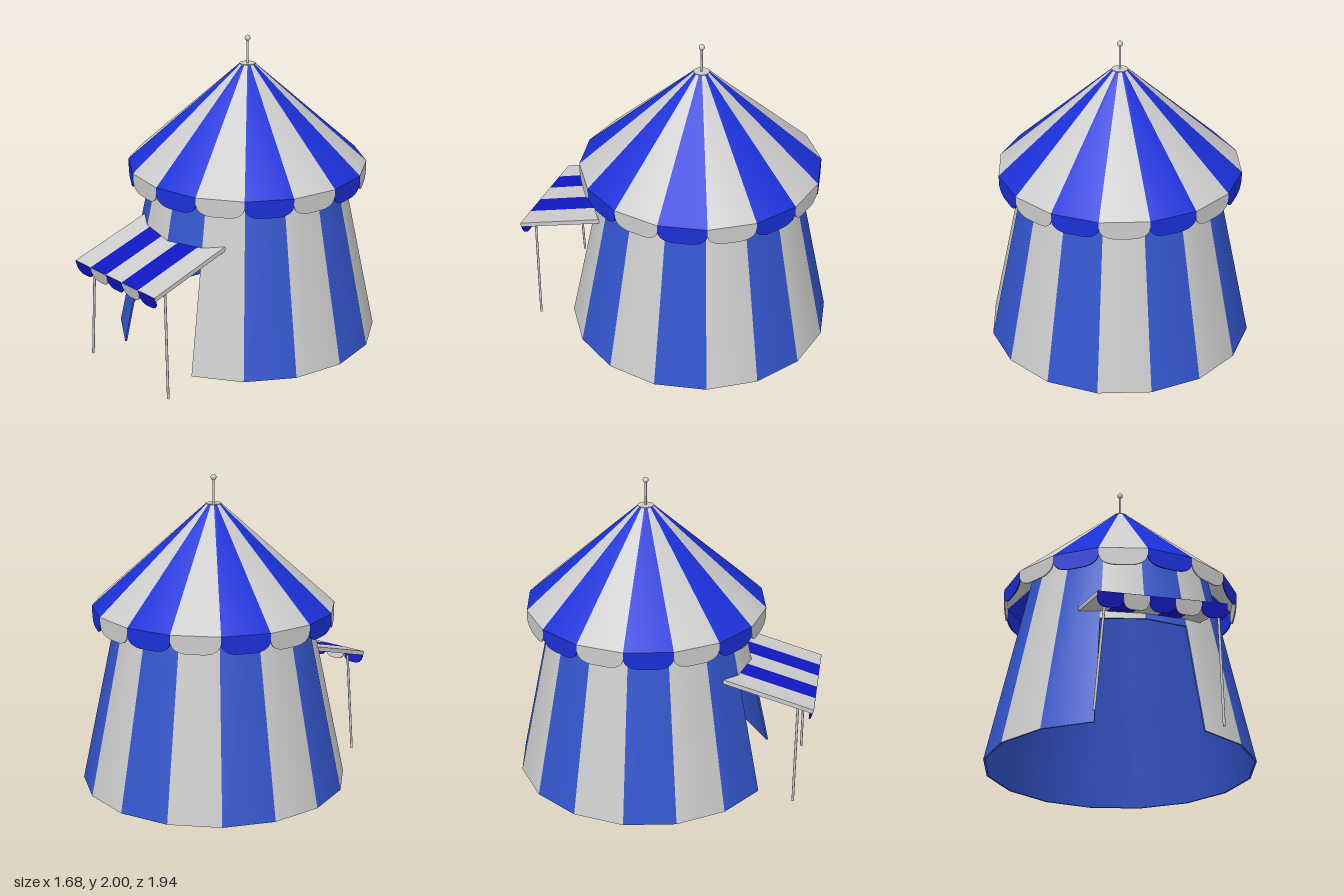
import * as THREE from 'three';

const N = 16, STEP = (Math.PI * 2) / N;
const BASE_Y = 0.05, DOOR_Y = 0.755, WALL_TOP = 1.35, EAVE_Y = 1.19, ROOF_TOP = 1.82;
const EAVE_R = 0.757, THICK = 0.012, TENT_Z = -0.13;

const mat = (color) => new THREE.MeshStandardMaterial({ color, side: THREE.DoubleSide });
const wallRadius = (y) => 0.84 - 0.213 * (y - BASE_Y);

// Plan outline of the tent front at awning height
function wallZ(x) {
  const a = Math.abs(x);
  return a < 0.258 ? 0.544 - 0.2 * a : 0.492 - 0.67 * (a - 0.258);
}

// Hanging flap with a rounded lower edge, its top at y = 0
function scallopGeometry(w, d) {
  const s = new THREE.Shape();
  s.moveTo(-w / 2, 0);
  s.lineTo(-w / 2, -0.35 * d);
  s.bezierCurveTo(-w / 2, -0.8 * d, -0.32 * w, -d, -0.15 * w, -d);
  s.lineTo(0.15 * w, -d);
  s.bezierCurveTo(0.32 * w, -d, w / 2, -0.8 * d, w / 2, -0.35 * d);
  s.lineTo(w / 2, 0);
  return new THREE.ExtrudeGeometry(s, { depth: 0.008, bevelEnabled: false, curveSegments: 8 });
}

// One segment of a conical shell, smooth across its neighbours
function shellPanel(rTop, rBottom, y0, y1, k) {
  const g = new THREE.CylinderGeometry(rTop, rBottom, y1 - y0, 1, 1, true, k * STEP, STEP);
  return g.translate(0, (y0 + y1) / 2, 0);
}

// Straight round pole between two points
function poleGeometry(a, b, r) {
  return new THREE.TubeGeometry(new THREE.LineCurve3(a, b), 1, r, 8, false);
}

export function createModel() {
  const model = new THREE.Group();
  const grey = mat(0xcccccc), wallBlue = mat(0x3355cc), roofBlue = mat(0x1a30d8), awningBlue = mat(0x1018c0);

  const add = (parent, name, geometry, material) => {
    const mesh = new THREE.Mesh(geometry, material);
    mesh.name = name;
    parent.add(mesh);
    return mesh;
  };
  const group = (name, parent) => {
    const g = new THREE.Group();
    g.name = name;
    parent.add(g);
    return g;
  };

  const tent = group('tent', model);
  tent.position.z = TENT_Z;
  const walls = group('walls', tent), roof = group('roof', tent), valance = group('valance', tent);

  // Striped walls, roof and valance, one panel at a time; two front panels stop above the door
  for (let k = 0; k < N; k++) {
    const blue = k % 2 === 0;
    const y0 = k === 0 || k === N - 1 ? DOOR_Y : BASE_Y;
    const rt = wallRadius(WALL_TOP), rb = wallRadius(y0);
    add(walls, 'wallPanel', shellPanel(rt, rb, y0, WALL_TOP, k), blue ? wallBlue : grey);
    add(walls, 'wallLining', shellPanel(rt - THICK, rb - THICK, y0, WALL_TOP, k), wallBlue);
    add(roof, 'roofPanel', shellPanel(0.05, EAVE_R, EAVE_Y, ROOF_TOP, k), blue ? roofBlue : grey);

    const flap = add(valance, 'valanceFlap',
      scallopGeometry(2 * EAVE_R * Math.sin(STEP / 2), 0.112), blue ? roofBlue : grey);
    const angle = (k + 0.5) * STEP, r = EAVE_R * Math.cos(STEP / 2) - 0.008;
    flap.position.set(Math.sin(angle) * r, EAVE_Y, Math.cos(angle) * r);
    flap.rotation.y = angle;
  }

  // Hems that close the cloth thickness below the walls and above the door
  const hem = (name, y, segments, start) => {
    const r = wallRadius(y);
    const points = [new THREE.Vector2(r - THICK, y), new THREE.Vector2(r, y)];
    add(walls, name, new THREE.LatheGeometry(points, segments, start, segments * STEP), wallBlue);
  };
  hem('wallHem', BASE_Y, N - 2, STEP);
  hem('doorHem', DOOR_Y, 2, -STEP);

  // Cloth edges at the two sides of the door
  for (const side of [-1, 1]) {
    const a = wallRadius(BASE_Y), b = wallRadius(DOOR_Y);
    const s = new THREE.Shape([
      new THREE.Vector2(a - THICK, BASE_Y), new THREE.Vector2(a, BASE_Y),
      new THREE.Vector2(b, DOOR_Y), new THREE.Vector2(b - THICK, DOOR_Y),
    ]);
    add(walls, 'doorEdge', new THREE.ShapeGeometry(s).rotateY(side * STEP - Math.PI / 2), wallBlue);
  }

  // Roof cap with mast and ball
  add(roof, 'roofCap', new THREE.CylinderGeometry(0.05, 0.05, 0.008, N).translate(0, ROOF_TOP, 0), grey);
  add(roof, 'mast', new THREE.CylinderGeometry(0.007, 0.007, 0.17, 10).translate(0, 1.9, 0), grey);
  add(roof, 'mastBall', new THREE.SphereGeometry(0.018, 16, 12).translate(0, 1.982, 0), grey);

  // Sloping striped awning, its back edge fitted to the wall
  const awning = group('awning', model);
  const W = 0.15, SLOPE = 0.286, FRONT_Z = 0.97;
  const awningY = (z) => 0.86 - SLOPE * (z - 0.414);
  for (let i = 0; i < 5; i++) {
    const x0 = (i - 2.5) * W, x1 = x0 + W;
    const breaks = [-0.258, 0, 0.258].filter((x) => x > x0 && x < x1);
    const back = [x0, ...breaks, x1].map((x) => new THREE.Vector2(x, wallZ(x)));
    const outline = [...back, new THREE.Vector2(x1, FRONT_Z), new THREE.Vector2(x0, FRONT_Z)];
    const g = new THREE.ExtrudeGeometry(new THREE.Shape(outline), { depth: 0.027, bevelEnabled: false });
    g.rotateX(Math.PI / 2);
    const p = g.attributes.position;
    for (let v = 0; v < p.count; v++) {
      const y = p.getY(v), z = p.getZ(v);
      p.setY(v, awningY(z) + y);
      p.setZ(v, z + SLOPE * y);
    }
    g.computeVertexNormals();
    add(awning, 'awningStripe', g, i % 2 ? awningBlue : grey);

    const flap = add(awning, 'awningFlap', scallopGeometry(W, 0.087), i % 2 ? grey : awningBlue);
    flap.position.set((x0 + x1) / 2, awningY(FRONT_Z), FRONT_Z - 0.006);
    flap.rotation.x = Math.atan(SLOPE);
  }

  // Awning poles
  const poles = [[-0.313, 0.685, -0.368, 0.03], [0.352, 0.685, 0.363, 0]];
  for (const [xt, yt, xb, yb] of poles) {
    const from = new THREE.Vector3(xb, yb, 0.87), to = new THREE.Vector3(xt, yt, 0.87);
    add(awning, 'awningPole', poleGeometry(from, to, 0.008), grey);
  }

  return model;
}
